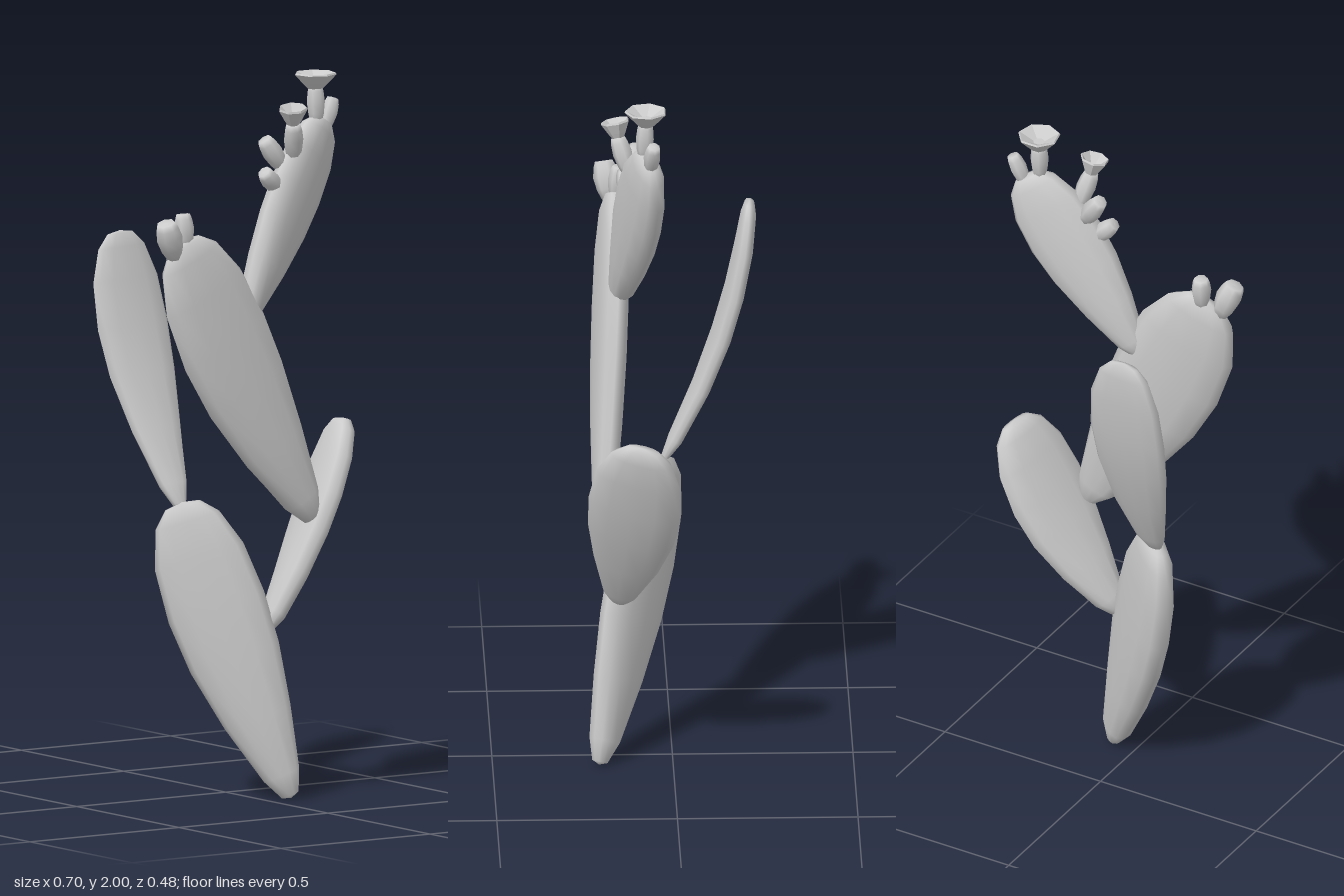
import * as THREE from 'three';
import { mergeVertices } from 'three/addons/utils/BufferGeometryUtils.js';

const grey = new THREE.MeshStandardMaterial({ color: 0xcccccc, side: THREE.DoubleSide });
const faceted = new THREE.MeshStandardMaterial({ color: 0xcccccc, flatShading: true, side: THREE.DoubleSide });
const V = (a) => new THREE.Vector3(...a);

// Pad outline from base to tip: [position along pad, width share, thickness share]
const OUTLINE = [
  [0, 0, 0], [0.01, 0.18, 0.4], [0.08, 0.38, 0.75], [0.28, 0.7, 0.92], [0.48, 0.93, 1],
  [0.65, 1, 1], [0.82, 0.92, 0.95], [0.94, 0.66, 0.8], [0.99, 0.36, 0.5], [1, 0, 0],
];
const SIDES = 12;

// Flattened, tapering pad swept along a gently bent axis
function pad(name, { base, tip, across, width, thick, bend = [0, 0, 0] }) {
  const a = V(base), b = V(tip);
  const control = a.clone().add(b).multiplyScalar(0.5).addScaledVector(V(bend), 2);
  const axis = new THREE.QuadraticBezierCurve3(a, control, b);
  const pos = [], idx = [];
  OUTLINE.forEach(([t, w, d], i) => {
    const c = axis.getPoint(t), T = axis.getTangent(t);
    const W = V(across);
    W.addScaledVector(T, -W.dot(T)).normalize();
    const N = T.clone().cross(W);
    for (let j = 0; j < SIDES; j++) {
      const q = (j / SIDES) * Math.PI * 2, s = Math.sin(q);
      const p = c.clone()
        .addScaledVector(W, (Math.cos(q) * w * width) / 2)
        .addScaledVector(N, (Math.sign(s) * Math.abs(s) ** 0.8 * d * thick) / 2);
      pos.push(p.x, p.y, p.z);
      if (i < OUTLINE.length - 1) {
        const k = i * SIDES + j, n = i * SIDES + ((j + 1) % SIDES);
        idx.push(k, n, k + SIDES, n, n + SIDES, k + SIDES);
      }
    }
  });
  let g = new THREE.BufferGeometry();
  g.setAttribute('position', new THREE.Float32BufferAttribute(pos, 3));
  g.setIndex(idx);
  g = mergeVertices(g, 1e-5);
  g.computeVertexNormals();
  const mesh = new THREE.Mesh(g, grey);
  mesh.name = name;
  return mesh;
}

// Small turned part standing between two points
function turned(name, profile, from, to, r, material) {
  const a = V(from), dir = V(to).sub(a), h = dir.length();
  const g = new THREE.LatheGeometry(profile.map(([x, y]) => new THREE.Vector2(x * r, y * h)), 7);
  const mesh = new THREE.Mesh(g, material);
  mesh.name = name;
  mesh.position.copy(a);
  mesh.quaternion.setFromUnitVectors(new THREE.Vector3(0, 1, 0), dir.normalize());
  return mesh;
}
const BUD = [[0, 0], [0.5, 0], [0.85, 0.3], [1, 0.6], [0.88, 0.85], [0.7, 1], [0, 0.98]];
const FLOWER = [[0, 0], [0.35, 0], [0.65, 0.4], [1, 0.9], [0.95, 1], [0.28, 0.5], [0, 0.5]];

export function createModel() {
  const model = new THREE.Group();
  model.name = 'cactus';

  // Pads
  model.add(
    pad('trunkPad', { base: [0.08, 0, 0.205], tip: [-0.165, 0.825, 0.025], across: [0.8, 0, 0.6], width: 0.28, thick: 0.1, bend: [-0.01, -0.005, -0.005] }),
    pad('backPad', { base: [-0.165, 0.81, 0.02], tip: [-0.205, 1.56, -0.22], across: [1, 0, 0], width: 0.235, thick: 0.055, bend: [0, 0, -0.045] }),
    pad('sidePad', { base: [0.03, 0.465, 0.15], tip: [0.33, 1.03, 0.09], across: [0.22, -0.21, -0.97], width: 0.265, thick: 0.082, bend: [0.015, -0.015, 0] }),
    pad('largePad', { base: [0.16, 0.77, 0.195], tip: [-0.25, 1.575, 0.155], across: [0.89, 0.45, -0.12], width: 0.32, thick: 0.09, bend: [-0.015, -0.008, 0] }),
    pad('topPad', { base: [-0.04, 1.335, 0.147], tip: [0.28, 1.865, 0.07], across: [0.79, -0.51, -0.36], width: 0.22, thick: 0.092 }),
  );

  // Buds: [foot, top, radius]
  [
    [[-0.285, 1.53, 0.165], [-0.325, 1.635, 0.18], 0.037],
    [[-0.237, 1.55, 0.15], [-0.24, 1.65, 0.14], 0.028],
    [[0.095, 1.685, 0.125], [0.035, 1.745, 0.135], 0.027],
    [[0.12, 1.74, 0.11], [0.06, 1.83, 0.1], 0.029],
    [[0.145, 1.765, 0.12], [0.12, 1.875, 0.155], 0.028],
    [[0.245, 1.85, 0.085], [0.245, 1.965, 0.08], 0.026],
    [[0.28, 1.83, 0.07], [0.318, 1.92, 0.06], 0.024],
  ].forEach(([a, b, r]) => model.add(turned('bud', BUD, a, b, r, grey)));

  // Open flowers on two of the buds
  model.add(
    turned('flower', FLOWER, [0.122, 1.868, 0.152], [0.114, 1.922, 0.162], 0.041, faceted),
    turned('flower', FLOWER, [0.245, 1.955, 0.08], [0.245, 2, 0.08], 0.06, faceted),
  );
  return model;
}
